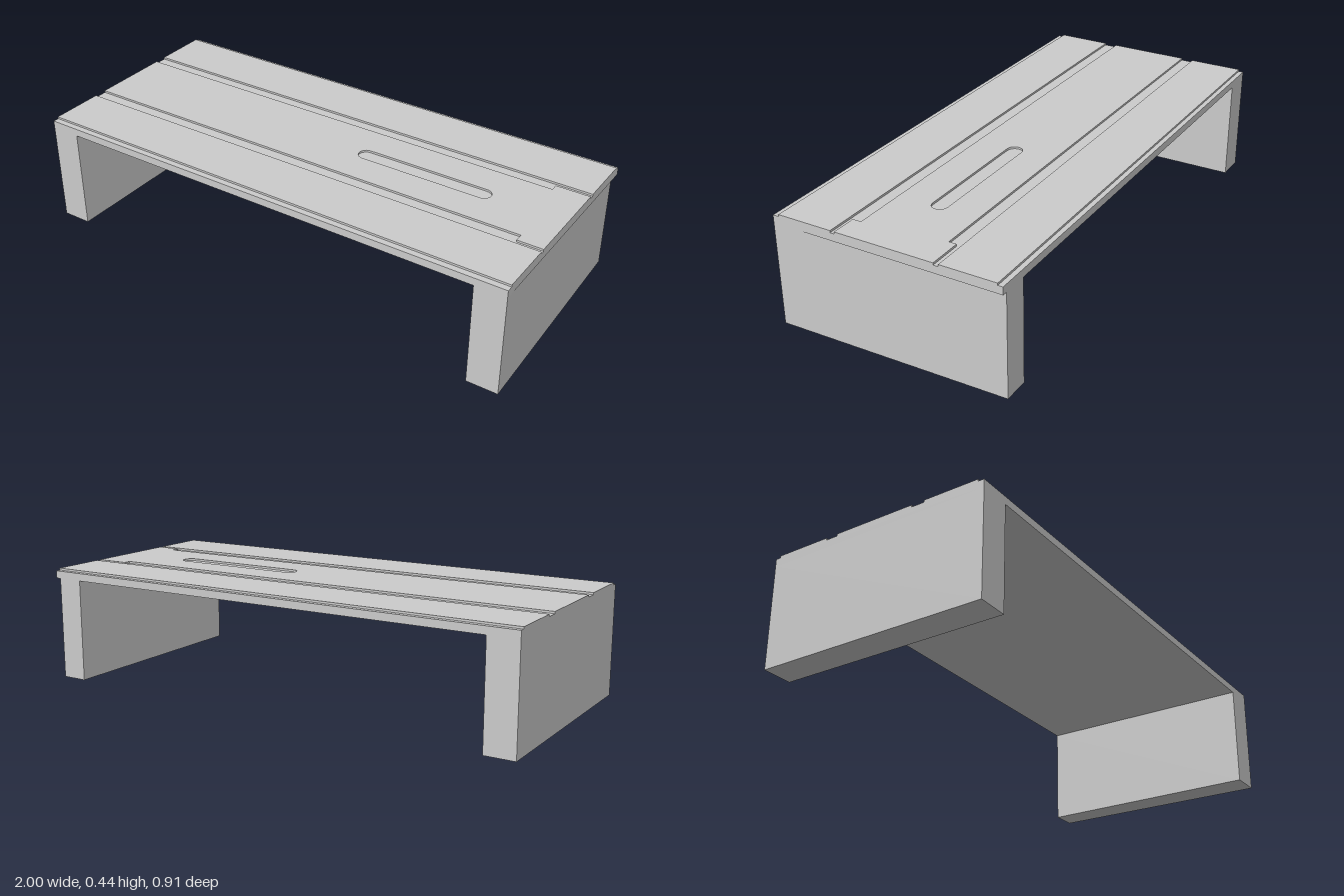
import * as THREE from 'three';

const material = new THREE.MeshStandardMaterial({ color: 0xcccccc, flatShading: true });
const HALF_Z = 0.455, UNDERSIDE = 0.407, FLOOR = 0.437, TOP = 0.445;

// Extrudes an outline given as [x, z] points between two heights.
function slab(name, points, y0, y1, hole) {
  const shape = new THREE.Shape(points.map(([x, z]) => new THREE.Vector2(x, -z)));
  if (hole) shape.holes.push(hole);
  const geometry = new THREE.ExtrudeGeometry(shape, { depth: y1 - y0, bevelEnabled: false, curveSegments: 8 });
  geometry.rotateX(-Math.PI / 2).translate(0, y0, 0);
  const mesh = new THREE.Mesh(geometry, material);
  mesh.name = name;
  return mesh;
}

const rect = (x0, x1, z0, z1) => [[x0, z1], [x1, z1], [x1, z0], [x0, z0]];

// Long recess with round ends.
function recess(x0, x1, zMid, r) {
  const path = new THREE.Path();
  path.absarc(x1 - r, -zMid, r, -Math.PI / 2, Math.PI / 2, false);
  path.absarc(x0 + r, -zMid, r, Math.PI / 2, Math.PI * 1.5, false);
  path.closePath();
  return path;
}

export function createModel() {
  const group = new THREE.Group();
  group.name = 'monitorStand';

  // Board whose upper face is the floor of the grooves and edge steps
  group.add(slab('board', rect(-1, 1, -HALF_Z, HALF_Z), UNDERSIDE, FLOOR));

  // Raised strips; the middle one widens near one end, narrowing the grooves
  group.add(slab('frontStrip', rect(-1, 1, 0.211, 0.431), FLOOR, TOP));
  group.add(slab('backStrip', rect(-1, 1, -0.436, -0.217), FLOOR, TOP));
  group.add(slab('middleStrip', [
    [-1, 0.16], [0.9, 0.16], [0.9, 0.194], [1, 0.194],
    [1, -0.198], [0.865, -0.198], [0.865, -0.168], [-1, -0.168],
  ], FLOOR, TOP, recess(0.147, 0.703, -0.004, 0.031)));

  // Side legs; the left one tapers slightly toward the back
  group.add(slab('rightLeg', rect(-1, -0.88, -HALF_Z, HALF_Z), 0, UNDERSIDE));
  group.add(slab('leftLeg', [
    [0.877, HALF_Z], [1, HALF_Z], [0.98, -HALF_Z], [0.877, -HALF_Z],
  ], 0, UNDERSIDE));

  return group;
}
